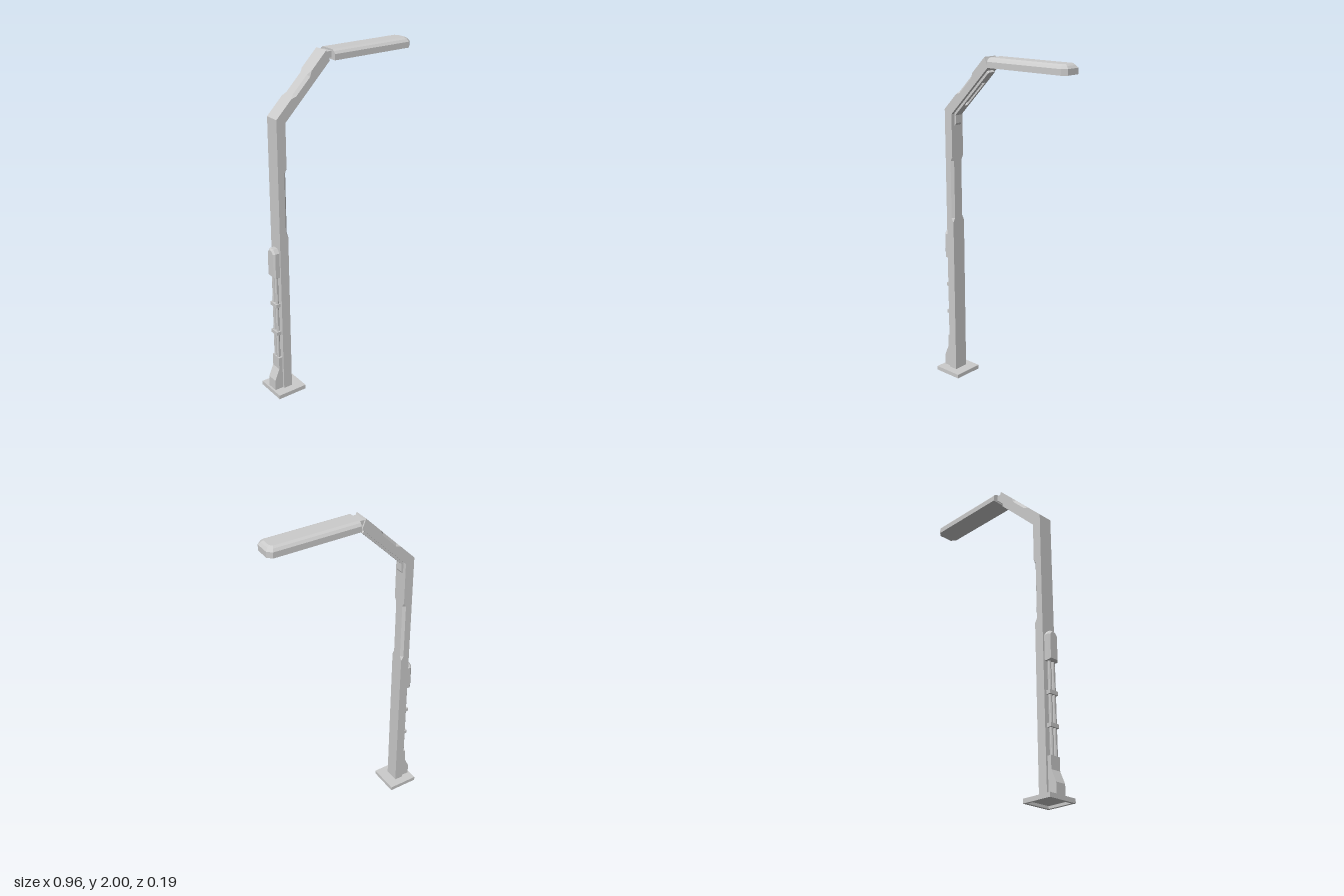
import * as THREE from 'three';

const mat = new THREE.MeshStandardMaterial({ color: 0xcccccc, flatShading: true });

function add(parent, name, geometry, x = 0, y = 0, z = 0) {
  const mesh = new THREE.Mesh(geometry, mat);
  mesh.name = name;
  mesh.position.set(x, y, z);
  parent.add(mesh);
  return mesh;
}

// Box given by its limits
function block(parent, name, x0, x1, y0, y1, z0, z1) {
  return add(parent, name, new THREE.BoxGeometry(x1 - x0, y1 - y0, z1 - z0),
    (x0 + x1) / 2, (y0 + y1) / 2, (z0 + z1) / 2);
}

// Skin over equal-sized rings of [x, y, z], capped at both ends
function loft(rings) {
  const n = rings[0].length, index = [];
  for (let r = 0; r < rings.length - 1; r++) {
    for (let i = 0; i < n; i++) {
      const a = r * n + i, b = r * n + (i + 1) % n;
      index.push(a, b, b + n, a, b + n, a + n);
    }
  }
  const last = (rings.length - 1) * n;
  for (let i = 1; i < n - 1; i++) {
    index.push(0, i + 1, i, last, last + i, last + i + 1);
  }
  const g = new THREE.BufferGeometry();
  g.setAttribute('position', new THREE.Float32BufferAttribute(rings.flat(2), 3));
  g.setIndex(index);
  const flat = g.toNonIndexed();
  flat.computeVertexNormals();
  return flat;
}

// Section of the pole: outer and inner points in xy, with a chamfer on each side
function poleRing([ox, oy, ix, iy, a, b]) {
  const w = 0.045, len = Math.hypot(ix - ox, iy - oy);
  const at = (d, z) => [ox + (ix - ox) * d / len, oy + (iy - oy) * d / len, z];
  return [
    at(0, w - a), at(a, w), at(len - b, w), at(len, w - b),
    at(len, b - w), at(len - b, -w), at(a, -w), at(0, a - w),
  ];
}

// Outline of the lamp head at height y, drawn in from the sides and tip
function headRing(y, side, tip) {
  const w = 0.068 - side, x = 0.48 - tip, c = 0.025 - side * 0.4;
  return [[-0.055, y, w], [x - c, y, w], [x, y, w - c],
    [x, y, c - w], [x - c, y, -w], [-0.055, y, -w]];
}

function rectangle(Type, x0, x1, y0, y1, c = 0) {
  const pts = [[x0 + c, y0], [x1 - c, y0], [x1, y0 + c], [x1, y1 - c],
    [x1 - c, y1], [x0 + c, y1], [x0, y1 - c], [x0, y0 + c]];
  return new Type(pts.map(p => new THREE.Vector2(...p)));
}

const extrude = (shape, depth) =>
  new THREE.ExtrudeGeometry(shape, { depth, bevelEnabled: false });

export function createModel() {
  const model = new THREE.Group();
  model.name = 'streetLamp';

  // Base plate with a hollow underside
  const base = new THREE.Group();
  base.name = 'basePlate';
  model.add(base);
  block(base, 'plateTop', -0.48, -0.295, 0.015, 0.025, -0.094, 0.094);
  const rim = rectangle(THREE.Shape, -0.48, -0.295, -0.094, 0.094);
  rim.holes.push(rectangle(THREE.Path, -0.465, -0.31, -0.079, 0.079));
  add(base, 'plateRim', extrude(rim, 0.015).rotateX(-Math.PI / 2));

  // Post and sloping arm in one bent skin
  const post = (y, c) => [-0.415, y, -0.36, y, 0, c];
  const arm = (x, c) => [x, x + 2.095, x + 0.04, x + 2.055, c, 0];
  add(model, 'postAndArm', loft([
    post(0.02, 0), post(1.0, 0), post(1.025, 0.015), post(1.375, 0.015), post(1.4, 0),
    [-0.415, 1.68, -0.36, 1.655, 0, 0],
    arm(-0.32, 0), arm(-0.3, 0.015), arm(-0.21, 0.015), arm(-0.19, 0),
    [-0.095, 2.0, -0.072, 1.943, 0, 0],
  ].map(poleRing)));

  // Slotted strut under the arm and its foot on the post
  const strut = new THREE.Group();
  strut.name = 'armStrut';
  strut.position.set(-0.36, 1.655, 0);
  strut.rotation.z = Math.PI / 4;
  model.add(strut);
  const frame = rectangle(THREE.Shape, 0, 0.38, -0.026, 0.026, 0.006);
  frame.holes.push(rectangle(THREE.Path, 0.09, 0.29, -0.013, 0.013, 0.005));
  add(strut, 'strutFrame', extrude(frame, 0.016).rotateX(Math.PI / 2), 0, 0.002, 0);
  block(strut, 'strutInsert', 0.11, 0.27, -0.007, 0.002, -0.007, 0.007);
  const foot = new THREE.Shape([[-0.365, 1.66], [-0.365, 1.585], [-0.352, 1.59],
    [-0.348, 1.6], [-0.348, 1.652]].map(p => new THREE.Vector2(...p)));
  add(model, 'strutFoot', extrude(foot, 0.044), 0, 0, -0.022);

  // Lamp head and the neck that holds it
  block(model, 'neck', -0.1, -0.05, 1.955, 1.99, -0.036, 0.036);
  add(model, 'lampHead', loft([
    headRing(1.945, 0, 0), headRing(1.978, 0, 0),
    headRing(1.992, 0.011, 0.012), headRing(2.0, 0.025, 0.025),
  ]));

  // Wedge-shaped cable housing at the foot
  const wedge = new THREE.Shape([[-0.41, 0.02], [-0.41, 0.235], [-0.438, 0.235],
    [-0.438, 0.16], [-0.468, 0.09], [-0.468, 0.02]].map(p => new THREE.Vector2(...p)));
  add(model, 'cableHousing', extrude(wedge, 0.066), 0, 0, -0.033);

  // Conduits and their clamps
  for (const z of [-0.014, 0.014]) {
    add(model, 'conduit', new THREE.CylinderGeometry(0.01, 0.01, 0.54, 8), -0.427, 0.5, z);
  }
  for (const y of [0.398, 0.58]) {
    block(model, 'conduitClamp', -0.443, -0.412, y - 0.011, y + 0.011, -0.03, 0.03);
  }

  // Control box with bevelled face and cut upper corners
  const face = new THREE.Shape([[-0.026, 0.769], [0.026, 0.769], [0.026, 0.908],
    [0.012, 0.926], [-0.012, 0.926], [-0.026, 0.908]].map(p => new THREE.Vector2(...p)));
  const box = new THREE.ExtrudeGeometry(face, {
    depth: 0.03, bevelThickness: 0.01, bevelSize: 0.009, bevelSegments: 1,
  });
  add(model, 'controlBox', box.rotateY(-Math.PI / 2), -0.412, 0, 0)
    .geometry.translate(-0.412 + 0.412, 0, 0);

  return model;
}
